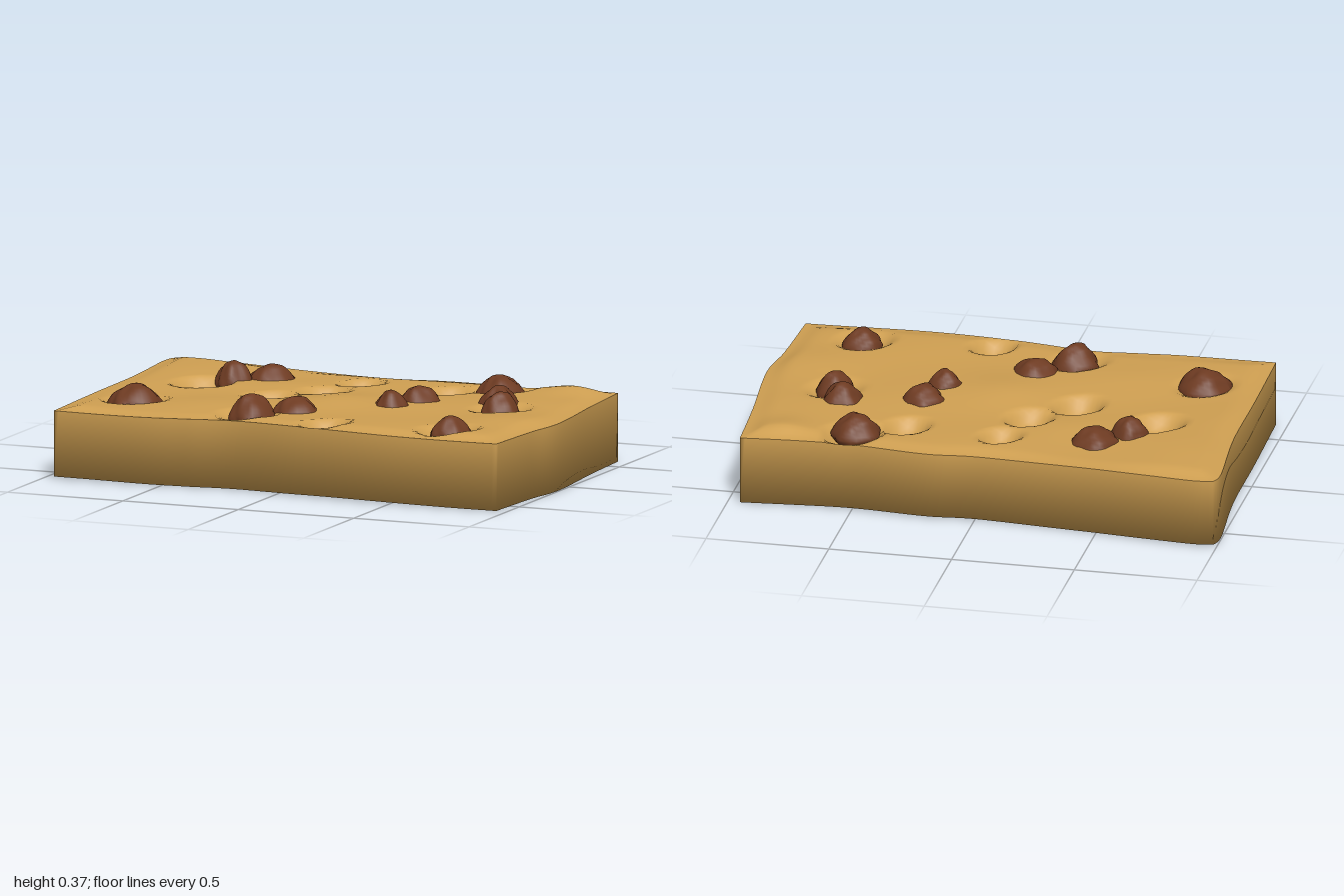
import * as THREE from 'three';

const v2 = (a) => new THREE.SplineCurve(a.map(([x, z]) => new THREE.Vector2(x, z)));
const smoothstep = THREE.MathUtils.smoothstep;

// Wavy outline of the slab, seen from above: x, z
const back = v2([[-0.985, -0.642], [-0.9, -0.653], [-0.7, -0.635], [-0.4, -0.602], [-0.02, -0.58], [0.2, -0.6], [0.5, -0.58], [0.72, -0.587], [0.95, -0.605]]);
const front = v2([[-0.957, 0.637], [-0.6, 0.632], [-0.4, 0.61], [-0.2, 0.588], [0.1, 0.622], [0.5, 0.648], [0.958, 0.632]]);
const left = v2([[-0.985, -0.642], [-1, -0.56], [-0.97, -0.2], [-0.966, 0.2], [-0.957, 0.637]]);
const right = v2([[0.95, -0.605], [0.967, -0.3], [0.999, 0.1], [0.975, 0.32], [0.958, 0.632]]);

// Pits in the top: x, z, radius, depth
const pits = [
  [-0.64, -0.12, 0.125, 0.065], [-0.06, -0.37, 0.095, 0.055], [-0.13, -0.16, 0.105, 0.06],
  [-0.29, 0.01, 0.11, 0.065], [0.33, -0.35, 0.105, 0.06], [0.52, -0.47, 0.135, 0.06],
  [0.17, 0.53, 0.1, 0.06], [0.68, 0.48, 0.125, 0.05], [0.69, -0.04, 0.125, 0.035],
  [-0.74, 0.32, 0.13, 0.035], [-0.2, 0.45, 0.13, 0.035],
];
// Gentle swells: x, z, radius, height
const swells = [
  [0.8, -0.52, 0.12, 0.026], [0.8, 0.54, 0.12, 0.014], [0.0, 0.06, 0.17, 0.018], [-0.8, -0.35, 0.2, 0.014],
  [0.8, 0.2, 0.18, 0.016], [-0.45, 0.3, 0.2, 0.008], [-0.3, -0.2, 0.12, 0.008],
];

function topHeight(x, z, u, v) {
  const edge = Math.min(u * 1.9, (1 - u) * 1.9, v * 1.25, (1 - v) * 1.25);
  let bump = 0.011 + 0.005 * Math.sin(x * 7 + z * 3) * Math.cos(z * 8 - x * 2);
  for (const [px, pz, r, h] of swells) bump += h * Math.exp(-((x - px) ** 2 + (z - pz) ** 2) / (r * r));
  let dent = 0;
  for (const [px, pz, r, d] of pits) {
    // slightly stretched along the diagonal
    const s = (x - px - z + pz) * Math.SQRT1_2, t = (x - px + z - pz) * Math.SQRT1_2;
    const k = Math.hypot(s / 1.15, t / 0.9) / r;
    dent = Math.max(dent, d * (1 - smoothstep(k, 0.35, 1)));
  }
  return 0.276 + 0.004 * Math.sin(x * 4 + z * 2) + bump * smoothstep(edge, 0, 0.09)
    - dent * (0.25 + 0.75 * smoothstep(edge, 0, 0.06));
}

// Slab: uneven top with a crisp rim; walls run smoothly into the flat underside
function slabGeometry() {
  const nx = 96, nz = 64, pos = [], index = [];
  const id = (i, j) => j * (nx + 1) + i;
  const c00 = back.getPoint(0), c10 = back.getPoint(1), c01 = front.getPoint(0), c11 = front.getPoint(1);
  for (let j = 0; j <= nz; j++) for (let i = 0; i <= nx; i++) {
    const u = i / nx, v = j / nz;
    const b = back.getPointAt(u), f = front.getPointAt(u), l = left.getPointAt(v), r = right.getPointAt(v);
    const mix = (k) => (1 - v) * b[k] + v * f[k] + (1 - u) * l[k] + u * r[k]
      - (1 - u) * (1 - v) * c00[k] - u * (1 - v) * c10[k] - (1 - u) * v * c01[k] - u * v * c11[k];
    const x = mix('x'), z = mix('y');
    pos.push(x, topHeight(x, z, u, v), z);
  }
  for (let j = 0; j < nz; j++) for (let i = 0; i < nx; i++) {
    const a = id(i, j), b = id(i, j + 1), c = id(i + 1, j), d = id(i + 1, j + 1);
    index.push(a, b, c, b, d, c);
  }
  const rim = [];
  for (let i = 0; i < nx; i++) rim.push(id(i, nz));
  for (let j = nz; j > 0; j--) rim.push(id(nx, j));
  for (let i = nx; i > 0; i--) rim.push(id(i, 0));
  for (let j = 0; j < nz; j++) rim.push(id(0, j));
  const upper = pos.length / 3, n = rim.length, lower = upper + n, centre = lower + n;
  for (const p of rim) pos.push(pos[p * 3], pos[p * 3 + 1], pos[p * 3 + 2]);
  for (const p of rim) pos.push(pos[p * 3], 0.005 + 0.003 * Math.sin(pos[p * 3] * 5), pos[p * 3 + 2]);
  pos.push(0, 0, 0);
  for (let k = 0; k < n; k++) {
    const m = (k + 1) % n;
    index.push(upper + k, lower + k, upper + m, lower + k, lower + m, upper + m, centre, lower + m, lower + k);
  }
  const g = new THREE.BufferGeometry();
  g.setAttribute('position', new THREE.Float32BufferAttribute(pos, 3));
  g.setIndex(index);
  g.computeVertexNormals();
  return g;
}

// Lumpy chip: a sphere drawn up to a blunt peak with uneven shoulders
function chipGeometry(r, top, seed) {
  const g = new THREE.SphereGeometry(1, 28, 20);
  const p = g.attributes.position, v = new THREE.Vector3(), bottom = 0.215;
  for (let i = 0; i < p.count; i++) {
    v.fromBufferAttribute(p, i);
    const lump = 1 + 0.07 * Math.sin(v.x * 4 + seed) * Math.cos(v.z * 4 + seed * 2)
      + 0.035 * Math.sin(v.x * 7 + v.y * 6 + v.z * 6 + seed * 3);
    const up = Math.max(v.y, 0);
    const narrow = 1 - 0.28 * up;
    const half = v.y > 0 ? top - 0.27 : 0.27 - bottom;
    const shoulder = THREE.MathUtils.lerp(lump, 1, smoothstep(up, 0.8, 1));
    p.setXYZ(i, v.x * r * lump * narrow, 0.27 + v.y * half * shoulder, v.z * r * lump * narrow);
  }
  g.computeVertexNormals();
  return g;
}

export function createModel() {
  const group = new THREE.Group();
  const dough = new THREE.MeshStandardMaterial({ color: 0xd0a052 });
  dough.name = 'golden dough';
  const chocolate = new THREE.MeshStandardMaterial({ color: 0x6e3b22 });
  chocolate.name = 'chocolate brown';

  const slab = new THREE.Mesh(slabGeometry(), dough);
  slab.name = 'slab';
  group.add(slab);

  // Chips: x, z, radius, top
  const chips = [
    [-0.435, -0.34, 0.1, 0.342], [-0.56, -0.25, 0.078, 0.362], [0.515, -0.43, 0.098, 0.35],
    [0.635, -0.145, 0.086, 0.362], [0.69, -0.03, 0.08, 0.358], [0.32, -0.07, 0.09, 0.35],
    [0.267, 0.088, 0.075, 0.355], [-0.735, 0.325, 0.108, 0.35], [-0.05, 0.305, 0.096, 0.342],
    [-0.185, 0.44, 0.096, 0.365], [0.69, 0.47, 0.082, 0.342],
  ];
  chips.forEach(([x, z, r, top], i) => {
    const chip = new THREE.Mesh(chipGeometry(r, top, i * 1.7), chocolate);
    chip.name = 'chip' + (i + 1);
    chip.position.set(x, 0, z);
    group.add(chip);
  });
  return group;
}
